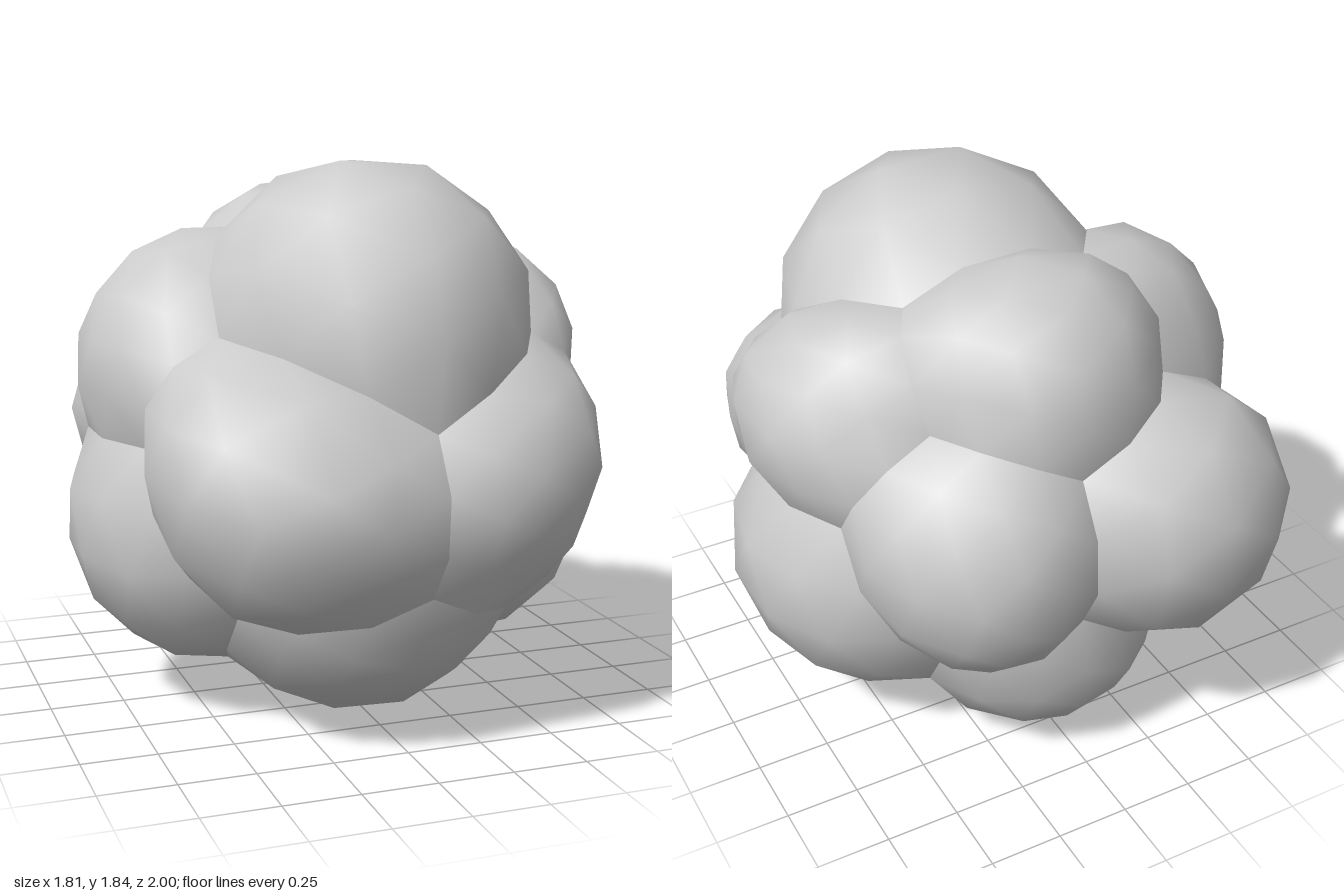
import * as THREE from 'three';

const SEAM_LIFT = 0.11; // how far the seams arch outward between corners
const RINGS = 3;
const CORE = new THREE.Vector3(0, 0.88, 0.01);
const fromCore = (x, y, z) => new THREE.Vector3(x, y, z).sub(CORE);

// Each lobe: name, centre x, y, z, radius
const LOBES = [
  ['frontTopLobe', 0.03, 1.26, 0.25, 0.585],
  ['frontRightLobe', -0.30, 0.84, 0.53, 0.475],
  ['frontLeftLobe', 0.28, 0.84, 0.49, 0.455],
  ['frontBottomLobe', -0.02, 0.54, 0.34, 0.51],
  ['lowerLeftLobe', 0.39, 0.64, 0, 0.53],
  ['lowerRightLobe', -0.39, 0.64, 0, 0.53],
  ['upperLeftLobe', 0.45, 1.16, -0.02, 0.43],
  ['upperRightLobe', -0.42, 1.15, -0.02, 0.45],
  ['backTopLobe', 0.01, 1.32, -0.31, 0.43],
  ['backRightLobe', -0.31, 0.88, -0.51, 0.5],
  ['backLeftLobe', 0.25, 0.88, -0.46, 0.445],
  ['backBottomLobe', 0, 0.45, -0.33, 0.455],
];

// Each corner: the three lobes meeting there, then x, y, z
const CORNERS = [
  [[0, 1, 2], 0.06, 1.03, 0.82],
  [[0, 2, 6], 0.57, 1.26, 0.39],
  [[0, 6, 8], 0.36, 1.57, -0.14],
  [[0, 7, 8], -0.29, 1.59, -0.14],
  [[0, 1, 7], -0.50, 1.29, 0.38],
  [[1, 2, 3], 0.03, 0.53, 0.87],
  [[2, 3, 4], 0.44, 0.45, 0.53],
  [[2, 4, 6], 0.70, 0.95, 0.26],
  [[1, 3, 5], -0.48, 0.42, 0.50],
  [[1, 5, 7], -0.72, 0.93, 0.27],
  [[4, 6, 10], 0.68, 0.95, -0.32],
  [[6, 8, 10], 0.42, 1.29, -0.44],
  [[7, 8, 9], -0.41, 1.29, -0.46],
  [[8, 9, 10], 0.04, 1.17, -0.72],
  [[9, 10, 11], 0.03, 0.63, -0.74],
  [[5, 7, 9], -0.73, 0.93, -0.28],
  [[5, 9, 11], -0.42, 0.41, -0.48],
  [[4, 10, 11], 0.42, 0.46, -0.51],
  [[3, 4, 11], 0.29, 0.15, -0.07],
  [[3, 5, 11], -0.31, 0.15, -0.07],
];

// Arched seam between two corners
function seamPoint(a, b, t) {
  const p = a.clone().lerp(b, t);
  return p.setLength(p.length() + SEAM_LIFT * 4 * t * (1 - t));
}

// Five-sided dome of rings, from the lobe's tip out to its seams
function lobeGeometry(c, r, corners) {
  const axis = c.clone().normalize();
  const e1 = new THREE.Vector3(0.31, 0.17, 0.93).cross(axis).normalize();
  const e2 = axis.clone().cross(e1);
  const angle = (p) => Math.atan2(p.dot(e2), p.dot(e1));
  const rim = [...corners].sort((p, q) => angle(p) - angle(q));
  const sides = rim.length;

  const positions = [...c.clone().addScaledVector(axis, r)];
  for (let k = 1; k <= RINGS; k++) {
    const s = k / RINGS;
    for (let m = 0; m < sides * k; m++) {
      const i = Math.floor(m / k);
      const q = seamPoint(rim[i], rim[(i + 1) % sides], (m % k) / k).sub(c);
      const reach = r + (q.length() - r) * s ** 3;
      q.normalize();
      const turn = axis.angleTo(q);
      const p = axis.clone().multiplyScalar(Math.sin((1 - s) * turn))
        .addScaledVector(q, Math.sin(s * turn)).setLength(reach).add(c);
      positions.push(...p);
    }
  }

  const at = (k, m) => (k === 0 ? 0 : 1 + (sides * k * (k - 1)) / 2 + (m % (sides * k)));
  const index = [];
  for (let k = 0; k < RINGS; k++) {
    for (let i = 0; i < sides; i++) {
      for (let j = 0; j <= k; j++) {
        const inner = i * k + j;
        const outer = i * (k + 1) + j;
        index.push(at(k, inner), at(k + 1, outer), at(k + 1, outer + 1));
        if (j < k) index.push(at(k, inner), at(k + 1, outer + 1), at(k, inner + 1));
      }
    }
  }
  const geometry = new THREE.BufferGeometry();
  geometry.setAttribute('position', new THREE.Float32BufferAttribute(positions, 3));
  geometry.setIndex(index);
  geometry.computeVertexNormals();
  return geometry;
}

export function createModel() {
  const group = new THREE.Group();
  group.name = 'lobedCluster';
  const material = new THREE.MeshStandardMaterial({ color: 0xcccccc });

  LOBES.forEach(([name, x, y, z, radius], i) => {
    const corners = CORNERS.filter(([lobes]) => lobes.includes(i))
      .map(([, ...point]) => fromCore(...point));
    const lobe = new THREE.Mesh(lobeGeometry(fromCore(x, y, z), radius, corners), material);
    lobe.name = name;
    lobe.position.copy(CORE);
    group.add(lobe);
  });
  return group;
}
